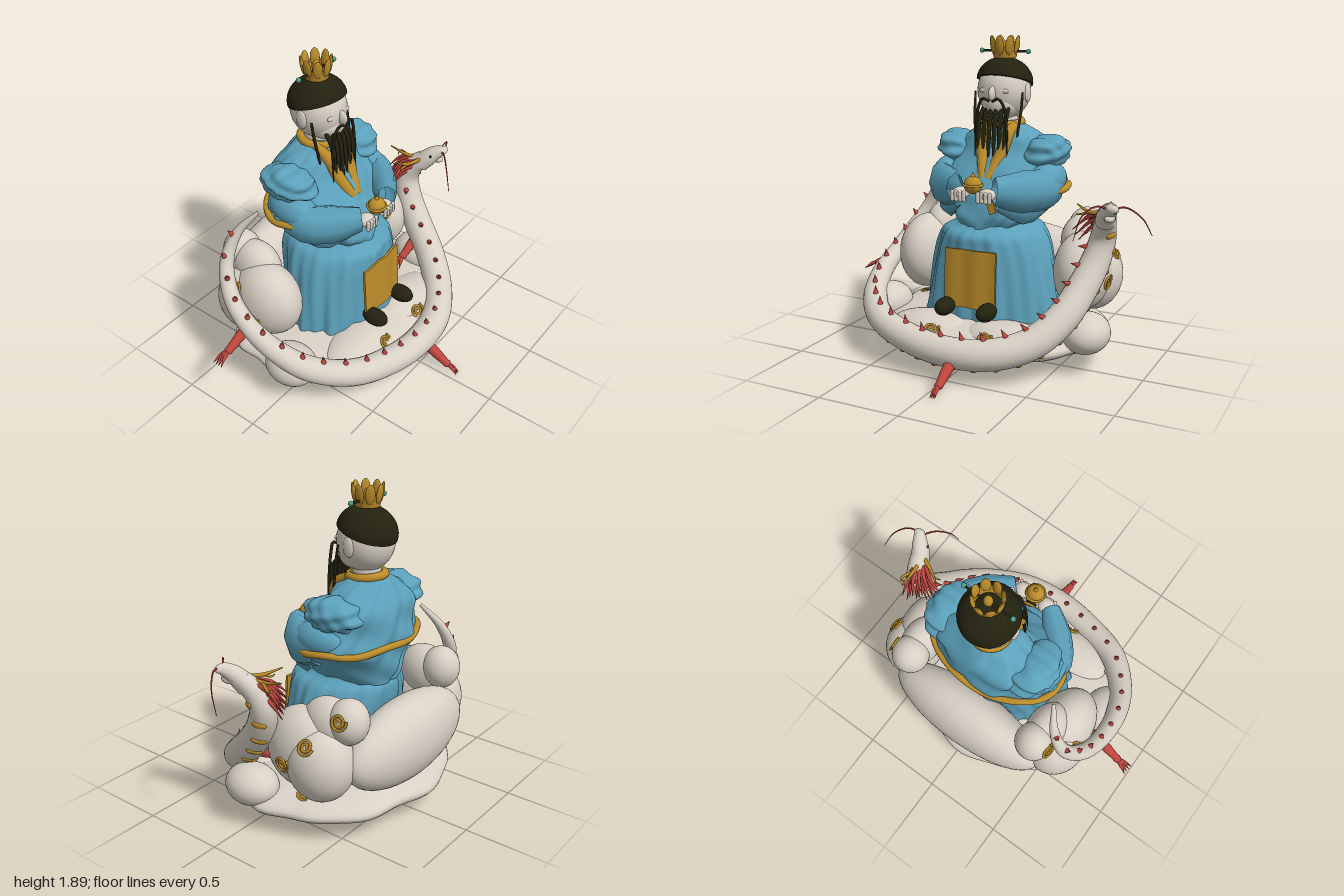
import * as THREE from 'three';

const mat = (name, color, side = THREE.FrontSide) => {
  const m = new THREE.MeshStandardMaterial({ color, side });
  m.name = name;
  return m;
};
const V = (x, y, z) => new THREE.Vector3(x, y, z);
const UP = V(0, 1, 0), FRONT = V(0, 0, 1);

export function createModel() {
  const root = new THREE.Group();
  root.name = 'sageOnCloud';
  const ivory = mat('ivory', 0xd8d0c5);
  const blue = mat('robeBlue', 0x5ba0ba, THREE.DoubleSide);
  const gold = mat('gold', 0xbb8c2a, THREE.DoubleSide);
  const dark = mat('hairBlack', 0x232210);
  const red = mat('dragonRed', 0xbe463e);
  const teal = mat('jade', 0x46a08c);

  const add = (name, geo, m, pos) => {
    const mesh = new THREE.Mesh(geo, m);
    mesh.name = name;
    if (pos) mesh.position.set(...pos);
    root.add(mesh);
    return mesh;
  };
  const ball = (name, m, pos, r, w = 32, h = 20) => {
    const mesh = add(name, new THREE.SphereGeometry(1, w, h), m, pos);
    mesh.scale.set(...r);
    return mesh;
  };

  // Tube whose radius follows a list; points are [x, y, z, r], tall stretches it upright
  const radiusAt = (pts, curve, u) => {
    const f = curve.getUtoTmapping(u) * (pts.length - 1);
    const i = Math.min(Math.floor(f), pts.length - 2);
    return THREE.MathUtils.lerp(pts[i][3], pts[i + 1][3], f - i);
  };
  const curveOf = (pts) => new THREE.CatmullRomCurve3(pts.map((p) => V(p[0], p[1], p[2])));
  const taper = (name, m, pts, segs = 16, sides = 8, tall = 1) => {
    const curve = curveOf(pts);
    const geo = new THREE.TubeGeometry(curve, segs, 1, sides);
    const p = geo.attributes.position, v = V(0, 0, 0);
    for (let i = 0; i <= segs; i++) {
      const c = curve.getPointAt(i / segs), r = radiusAt(pts, curve, i / segs);
      for (let j = 0; j <= sides; j++) {
        const k = i * (sides + 1) + j;
        v.fromBufferAttribute(p, k).sub(c).multiplyScalar(r);
        p.setXYZ(k, c.x + v.x, c.y + v.y * tall, c.z + v.z);
      }
    }
    return add(name, geo, m);
  };

  // Draped cloth stacked from ellipses [y, rx, cz, rz], with folds around it
  const drape = (name, rings, fold) => {
    const size = new THREE.CatmullRomCurve3(rings.map((r) => V(r[1], r[0], r[3])));
    const mid = new THREE.CatmullRomCurve3(rings.map((r) => V(0, r[0], r[2])));
    const geo = new THREE.CylinderGeometry(1, 1, 1, 120, 36, true);
    const p = geo.attributes.position;
    for (let i = 0; i < p.count; i++) {
      const t = p.getY(i) + 0.5, a = Math.atan2(p.getZ(i), p.getX(i));
      const s = size.getPoint(t), k = 1 + fold(a, t);
      p.setXYZ(i, Math.cos(a) * s.x * k, s.y, mid.getPoint(t).z + Math.sin(a) * s.z * k);
    }
    geo.computeVertexNormals();
    return add(name, geo, blue);
  };

  // ---- Cloud seat ----
  const base = new THREE.SphereGeometry(1, 72, 24);
  const bp = base.attributes.position;
  for (let i = 0; i < bp.count; i++) {
    const x = bp.getX(i), y = bp.getY(i), z = bp.getZ(i), a = Math.atan2(z, x);
    const k = 1 + 0.025 * Math.sin(7 * a + 1) + 0.015 * Math.sin(11 * a);
    const q = Math.max(Math.hypot(x, z), 1e-4), f = Math.pow(q, -0.15);
    bp.setXYZ(i, x * f * k * 0.73, 0.17 + y * 0.12, -0.15 + z * f * k * 0.58);
  }
  base.computeVertexNormals();
  add('cloudBase', base, ivory);
  ball('cloudBack', ivory, [0, 0.47, -0.57], [0.53, 0.25, 0.18], 40, 24);
  const spiral = (c, r, d) => {
    const n = V(...d).normalize();
    const pts = [];
    for (let i = 0; i <= 24; i++) {
      const a = i * 0.55, q = 0.008 + 0.0017 * i;
      pts.push(V(Math.cos(a) * q, Math.sin(a) * q, 0));
    }
    const m = add('cloudSwirl', new THREE.TubeGeometry(new THREE.CatmullRomCurve3(pts), 60, 0.008, 6), gold,
      [c[0] + n.x * r[0], c[1] + n.y * r[1], c[2] + n.z * r[2]]);
    m.quaternion.setFromUnitVectors(FRONT, V(n.x / r[0], n.y / r[1], n.z / r[2]).normalize());
  };
  for (const s of [-1, 1]) {
    const puffs = [
      [[s * 0.53, 0.53, -0.26], [0.17, 0.24, 0.23]],
      [[s * 0.55, 0.48, -0.39], [0.18, 0.22, 0.2]],
      [[s * 0.46, 0.73, -0.51], [0.115, 0.13, 0.115]],
      [[s * 0.47, 0.68, -0.39], [0.12, 0.16, 0.17]],
      [[s * 0.66, 0.25, 0.02], [0.14, 0.12, 0.165]],
      [[s * 0.24, 0.2, 0.2], [0.28, 0.1, 0.17]],
    ];
    puffs.forEach(([c, r]) => ball('cloudPuff', ivory, c, r));
    spiral(...puffs[0], [s, -0.2, 0.1]);
    spiral(...puffs[1], [s, 0.95, 0]);
    spiral(...puffs[2], [s, 0.35, -0.1]);
    spiral(...puffs[5], [-s * 0.25, 0.4, 0.9]);
    spiral([0, 0.17, -0.15], [0.73, 0.12, 0.58], [s, 0.8, -0.3]);
  }

  // ---- Dragon ----
  const body = [
    [-0.47, 1.09, -0.34, 0.01], [-0.55, 0.95, -0.44, 0.028], [-0.64, 0.78, -0.46, 0.042],
    [-0.72, 0.62, -0.37, 0.05], [-0.755, 0.5, -0.22, 0.055], [-0.745, 0.4, -0.02, 0.065],
    [-0.67, 0.31, 0.17, 0.075], [-0.5, 0.25, 0.35, 0.08], [-0.25, 0.2, 0.44, 0.085],
    [0, 0.18, 0.475, 0.087], [0.25, 0.19, 0.44, 0.09], [0.45, 0.25, 0.32, 0.092],
    [0.57, 0.37, 0.17, 0.092], [0.635, 0.52, 0.02, 0.09], [0.675, 0.66, -0.08, 0.085],
    [0.7, 0.78, -0.115, 0.076], [0.72, 0.87, -0.085, 0.066], [0.75, 0.94, -0.015, 0.054],
  ];
  taper('dragonBody', ivory, body, 150, 24);
  const spine = curveOf(body);
  const frameAt = (u) => {
    const c = spine.getPointAt(u), t = spine.getTangentAt(u);
    const neck = c.x > 0.4 ? THREE.MathUtils.clamp((c.y - 0.25) / 0.3, 0, 1) : 0;
    const d = V(-0.4 * neck, 1, 0);
    d.addScaledVector(t, -d.dot(t)).normalize();
    return { c, t, d, r: radiusAt(body, spine, u) };
  };
  for (let i = 0; i < 23; i++) {
    const { c, t, d, r } = frameAt(0.06 + i * 0.039);
    const h = 0.034 + r * 0.3;
    const spike = add('backSpike', new THREE.ConeGeometry(0.018, h, 8), red,
      c.clone().addScaledVector(d, r + h * 0.35).toArray());
    spike.quaternion.setFromUnitVectors(UP, d.addScaledVector(t, -0.3).normalize());
  }
  for (let i = 0; i < 24; i++) {
    const { c, t, d, r } = frameAt(0.2 + i * 0.033);
    const plate = ball('bellyPlate', gold, c.clone().addScaledVector(d, -r * 0.9).toArray(), [r * 0.55, 0.016, 0.022], 14, 8);
    plate.quaternion.setFromRotationMatrix(new THREE.Matrix4().makeBasis(d.clone().cross(t), d, t));
  }
  // Head, jaw, snout
  taper('dragonHead', ivory, [[0.735, 0.9, -0.04, 0.058], [0.755, 0.945, 0, 0.056],
    [0.782, 0.98, 0.035, 0.047], [0.808, 1.0, 0.07, 0.035], [0.822, 1.005, 0.09, 0.006]], 16, 16);
  ball('dragonSnout', ivory, [0.812, 1.0, 0.075], [0.04, 0.026, 0.028], 16, 12);
  ball('dragonJaw', ivory, [0.79, 0.94, 0.045], [0.03, 0.024, 0.045], 16, 12);
  for (const [x, y, z] of [[0.73, 0.98, 0.035], [0.785, 0.99, 0.0]]) ball('dragonEye', dark, [x, y, z], [0.01, 0.01, 0.01], 10, 8);
  // Whiskers, mane, antlers
  taper('dragonWhisker', red, [[0.82, 1.0, 0.08, 0.006], [0.88, 1.015, 0.06, 0.005], [0.96, 0.95, 0.0, 0.004], [1.0, 0.84, -0.07, 0.002]], 16, 6);
  taper('dragonWhisker', red, [[0.79, 1.0, 0.08, 0.006], [0.74, 1.02, 0.13, 0.005], [0.68, 0.97, 0.19, 0.004], [0.65, 0.84, 0.235, 0.002]], 16, 6);
  for (let i = 0; i < 13; i++) {
    const f = i / 12, g = (i % 3) * 0.03;
    taper('maneLock', red, [[0.68 + 0.05 * f, 0.93 - g, -0.05 - 0.04 * f, 0.013],
      [0.61 + 0.11 * f, 0.9 - g, -0.1 - 0.08 * f, 0.013],
      [0.51 + 0.2 * f, 0.81 - g, -0.12 - 0.14 * f, 0.002]], 8, 6);
  }
  for (const [x, z] of [[0.54, -0.12], [0.7, -0.25]]) {
    taper('antler', gold, [[0.72, 0.95, -0.02, 0.014], [(0.72 + x) / 2, 0.94, z / 2, 0.012], [x, 0.965, z, 0.004]], 10, 6);
    taper('antlerTine', gold, [[(0.72 + x) / 2, 0.94, z / 2, 0.01], [x + 0.05, 0.92, z + 0.04, 0.008], [x + 0.01, 0.915, z + 0.05, 0.003]], 8, 6);
  }
  // Clawed legs
  const leg = (from, to) => {
    const a = V(...from), b = V(...to), dir = b.clone().sub(a);
    const wrist = a.clone().addScaledVector(dir, 0.62);
    taper('dragonLeg', red, [[...from, 0.034], [...a.clone().lerp(wrist, 0.5).toArray(), 0.03], [...wrist.toArray(), 0.022]], 10, 10);
    ball('dragonPaw', red, wrist.toArray(), [0.026, 0.022, 0.026], 12, 8);
    const side = dir.clone().cross(UP).normalize();
    for (let i = -1.5; i <= 1.5; i++) {
      const tip = b.clone().addScaledVector(side, i * (Math.abs(from[0]) < 0.1 ? 0.01 : 0.022));
      const knuckle = wrist.clone().lerp(tip, 0.5).add(V(0, 0.012, 0));
      taper('dragonClaw', red, [[...wrist.toArray(), 0.013], [...knuckle.toArray(), 0.012], [...tip.toArray(), 0.001]], 8, 6);
    }
  };
  leg([0.05, 0.13, 0.53], [0.055, 0.015, 0.74]);
  leg([-0.75, 0.485, -0.22], [-1.0, 0.35, -0.245]);
  leg([0.58, 0.42, 0.05], [0.38, 0.29, 0.03]);

  // ---- Robe ----
  drape('skirt', [[0.26, 0.425, -0.12, 0.31], [0.4, 0.405, -0.12, 0.3], [0.58, 0.375, -0.135, 0.31],
    [0.7, 0.34, -0.145, 0.32], [0.77, 0.3, -0.15, 0.315], [0.815, 0.23, -0.17, 0.26], [0.9, 0.2, -0.18, 0.22]],
  (a, t) => (1 - 0.75 * t) * (0.03 * Math.sin(11 * a + 3 * t) + 0.022 * Math.sin(23 * a - 2 * t) + 0.02 * Math.sin(6 * a + 5 * t)));
  drape('robeTop', [[0.79, 0.2, -0.19, 0.28], [0.86, 0.265, -0.19, 0.295], [0.95, 0.34, -0.21, 0.285], [1.03, 0.41, -0.235, 0.275],
    [1.13, 0.36, -0.26, 0.24], [1.24, 0.34, -0.295, 0.195], [1.33, 0.22, -0.28, 0.155], [1.385, 0.12, -0.28, 0.115], [1.41, 0.09, -0.28, 0.09]],
  (a, t) => 0.025 * Math.sin(9 * a + 14 * t) + 0.022 * Math.sin(5 * a - 21 * t) + 0.012 * Math.sin(17 * a + 25 * t));
  // Puffed shoulders and sleeves
  for (const s of [-1, 1]) {
    const puff = new THREE.SphereGeometry(1, 40, 28);
    const pp = puff.attributes.position;
    for (let i = 0; i < pp.count; i++) {
      const x = pp.getX(i), y = pp.getY(i), z = pp.getZ(i);
      const k = 1 + 0.06 * Math.sin(9 * y + 4 * z) + 0.04 * Math.sin(13 * z - 5 * y);
      pp.setXYZ(i, s * (0.285 + 0.025 * y) + x * k * 0.13, 1.225 + y * k * 0.105, -0.265 + z * k * 0.175);
    }
    puff.computeVertexNormals();
    add('shoulder', puff, blue);
    ball('upperArm', blue, [s * 0.32, 1.08, -0.2], [0.1, 0.1, 0.17]);
    taper('sleeve', blue, [[s * 0.355, 1.04, -0.22, 0.065], [s * 0.335, 1.03, -0.1, 0.085],
      [s * 0.24, 1.03, 0.02, 0.085], [s * 0.125, 1.045, 0.125, 0.055]], 8, 8, 1.5);
    taper('sleeveDrape', blue, [[s * 0.33, 0.97, -0.14, 0.05], [s * 0.25, 0.92, -0.04, 0.07], [s * 0.13, 0.95, 0.09, 0.02]], 6, 6, 1.4);
    // Clasped hands
    ball('hand', ivory, [s * 0.085, 1.02, 0.135], [0.052, 0.038, 0.05], 20, 14);
    for (let i = 0; i < 4; i++) add('finger', new THREE.CapsuleGeometry(0.012, 0.045, 4, 8), ivory, [s * (0.045 + i * 0.025), 1.01, 0.175]);
    // Shoes
    ball('shoe', dark, [s * 0.135, 0.357, 0.245], [0.054, 0.052, 0.085], 24, 16);
  }
  // Belt around the back, collar, lapels, panel
  const belt = [];
  for (let i = 0; i <= 24; i++) {
    const a = -0.4 + (i / 24) * (Math.PI + 0.8);
    belt.push([0.425 * Math.cos(a), 1.03 + 0.008 * Math.sin(6 * a), -0.23 - 0.283 * Math.sin(a), 0.02]);
  }
  taper('belt', gold, belt, 80, 10);
  const collar = add('collar', new THREE.TorusGeometry(0.1, 0.025, 12, 40), gold, [0, 1.39, -0.28]);
  collar.rotation.x = Math.PI / 2 + 0.1;
  for (const s of [-1, 1]) taper('lapel', gold, [[s * 0.09, 1.385, -0.22, 0.028], [s * 0.085, 1.33, -0.14, 0.038],
    [s * 0.06, 1.22, -0.1, 0.04], [s * 0.015, 1.08, -0.02, 0.035]], 16, 8);
  add('beltEnd', new THREE.BoxGeometry(0.045, 0.07, 0.012), gold, [0.115, 0.95, 0.14]).rotation.z = 0.3;
  const panel = new THREE.BoxGeometry(0.33, 0.345, 0.014, 16, 8, 1);
  const qp = panel.attributes.position;
  for (let i = 0; i < qp.count; i++) qp.setZ(i, qp.getZ(i) + 0.004 * Math.sin(qp.getX(i) * 40) - 0.25 * qp.getX(i) ** 2);
  panel.computeVertexNormals();
  add('apronPanel', panel, gold, [0, 0.525, 0.195]).rotation.x = -0.05;
  // Held ornament
  ball('ornament', gold, [0, 1.075, 0.145], [0.055, 0.052, 0.05], 24, 16);
  add('ornamentKnob', new THREE.ConeGeometry(0.018, 0.04, 12), gold, [0, 1.135, 0.145]);
  add('ornamentRing', new THREE.TorusGeometry(0.054, 0.008, 8, 28), gold, [0, 1.075, 0.145]).rotation.x = Math.PI / 2;

  // ---- Head ----
  add('neck', new THREE.CylinderGeometry(0.075, 0.085, 0.14, 28), ivory, [0, 1.43, -0.28]);
  ball('face', ivory, [0, 1.585, -0.27], [0.16, 0.175, 0.166], 40, 28);
  ball('jaw', ivory, [0, 1.51, -0.225], [0.115, 0.1, 0.12]);
  ball('nose', ivory, [0, 1.575, -0.105], [0.02, 0.045, 0.04], 16, 12).rotation.x = -0.3;
  const cap = add('hair', new THREE.SphereGeometry(1, 40, 16, 0, Math.PI * 2, 0, Math.PI / 2), dark, [0, 1.635, -0.277]);
  cap.scale.set(0.17, 0.145, 0.175);
  cap.rotation.x = -0.3;
  const under = add('hairEdge', new THREE.CircleGeometry(1, 40), dark, [0, 1.635, -0.277]);
  under.scale.set(0.17, 0.175, 1);
  under.rotation.x = Math.PI / 2 - 0.3;
  for (const s of [-1, 1]) {
    ball('ear', ivory, [s * 0.155, 1.575, -0.265], [0.016, 0.058, 0.036], 16, 14);
    ball('eyelid', ivory, [s * 0.06, 1.59, -0.127], [0.036, 0.016, 0.012], 14, 10);
    taper('moustache', dark, [[s * 0.008, 1.53, -0.085, 0.007], [s * 0.05, 1.548, -0.08, 0.009],
      [s * 0.082, 1.5, -0.09, 0.009], [s * 0.1, 1.36, -0.09, 0.008], [s * 0.105, 1.2, -0.085, 0.002]], 20, 8);
    taper('sideWhisker', dark, [[s * 0.155, 1.58, -0.195, 0.006], [s * 0.152, 1.48, -0.18, 0.009],
      [s * 0.142, 1.36, -0.16, 0.008], [s * 0.13, 1.24, -0.145, 0.002]], 16, 8);
  }
  for (let i = 0; i < 6; i++) {
    const f = (i - 2.5) / 2.5, low = 1.12 + 0.06 * Math.abs(f) + (i % 2) * 0.04;
    taper('beardLock', dark, [[f * 0.08, 1.49, -0.125 - 0.03 * f * f, 0.012], [f * 0.085, 1.42, -0.105, 0.016],
      [f * 0.085, 1.3, -0.09, 0.013], [f * 0.075, low, -0.075, 0.002]], 14, 8);
  }

  // ---- Crown and hairpin ----
  const cz = -0.277;
  add('crownBand', new THREE.CylinderGeometry(0.08, 0.068, 0.07, 32, 1, true), gold, [0, 1.81, cz]);
  ball('crownKnob', gold, [0, 1.83, cz], [0.026, 0.045, 0.026], 16, 12);
  for (let i = 0; i < 8; i++) {
    const a = (i / 8) * Math.PI * 2;
    const petal = ball('crownPetal', gold, [Math.sin(a) * 0.078, 1.85, cz + Math.cos(a) * 0.078], [0.028, 0.057, 0.012], 14, 10);
    petal.rotation.set(0.15, a, 0, 'YXZ');
  }
  add('hairpin', new THREE.CylinderGeometry(0.008, 0.008, 0.3, 10), dark, [0, 1.815, cz]).rotation.z = Math.PI / 2;
  for (const s of [-1, 1]) ball('hairpinBead', teal, [s * 0.152, 1.815, cz], [0.015, 0.015, 0.015], 14, 10);
  return root;
}
